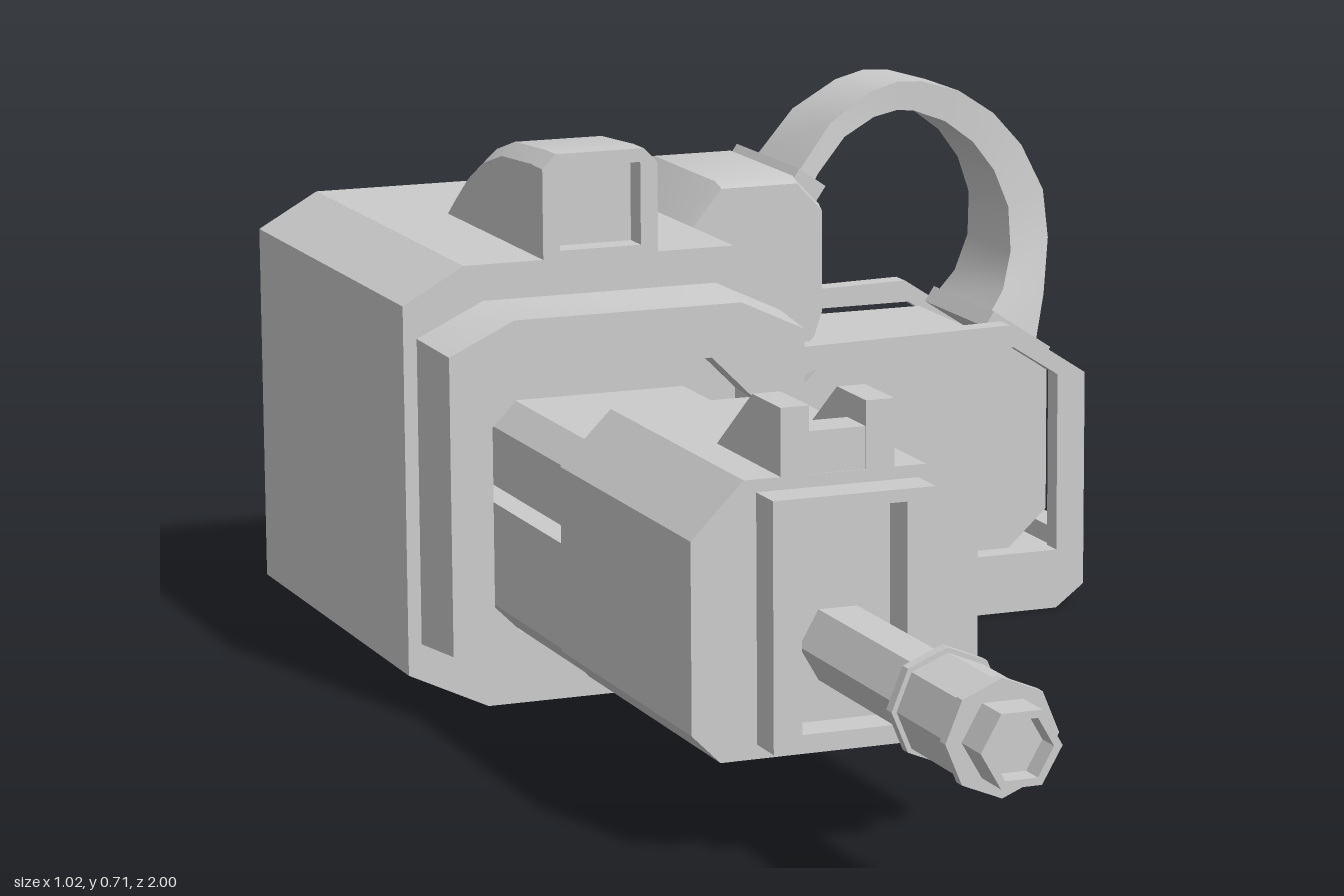
import * as THREE from 'three';
import { toCreasedNormals } from 'three/addons/utils/BufferGeometryUtils.js';

const material = new THREE.MeshStandardMaterial({ color: 0xcccccc });

// Octagon-like outline, counter-clockwise; cb and ct are the [x, y] cuts at the bottom and top corners
function octagon(x0, x1, y0, y1, cb, ct = cb) {
  return [
    [x0 + cb[0], y0], [x1 - cb[0], y0], [x1, y0 + cb[1]], [x1, y1 - ct[1]],
    [x1 - ct[0], y1], [x0 + ct[0], y1], [x0, y1 - ct[1]], [x0, y0 + cb[1]],
  ];
}

const rect = (x0, x1, y0, y1) => [[x0, y0], [x1, y0], [x1, y1], [x0, y1]];
const toVectors = (points) => points.map(([x, y]) => new THREE.Vector2(x, y));

function extrude(points, depth, hole) {
  const shape = new THREE.Shape(toVectors(points));
  if (hole) shape.holes.push(new THREE.Path(toVectors(hole)));
  return new THREE.ExtrudeGeometry(shape, { depth, bevelEnabled: false });
}

// Outline in x, y drawn out from z0 to z1
const prism = (points, z0, z1, hole) => extrude(points, z1 - z0, hole).translate(0, 0, z0);

// Outline in z, y drawn out from x0 to x1
const sidePrism = (points, x0, x1) => extrude(points, x1 - x0).rotateY(-Math.PI / 2).translate(x1, 0, 0);

// Skin over matching loops of [x, y, z], with both ends closed
function loft(loops) {
  const n = loops[0].length;
  const index = [];
  for (let s = 0; s < loops.length - 1; s++) {
    for (let i = 0; i < n; i++) {
      const a = s * n + i, b = s * n + (i + 1) % n;
      index.push(a, b, b + n, a, b + n, a + n);
    }
  }
  const last = (loops.length - 1) * n;
  for (let i = 1; i < n - 1; i++) {
    index.push(0, i + 1, i, last, last + i, last + i + 1);
  }
  const geometry = new THREE.BufferGeometry();
  geometry.setAttribute('position', new THREE.Float32BufferAttribute(loops.flat(2), 3));
  geometry.setIndex(index);
  return geometry;
}

const atZ = (points, z) => points.map(([x, y]) => [x, y, z]);

// Outline scaled about a centre
const shrink = (points, cx, cy, s) => points.map(([x, y]) => [cx + (x - cx) * s, cy + (y - cy) * s]);

export function createModel() {
  const group = new THREE.Group();
  const add = (name, geometry, parent = group) => {
    const mesh = new THREE.Mesh(toCreasedNormals(geometry, 0.5), material);
    mesh.name = name;
    parent.add(mesh);
  };
  const box = (name, x0, x1, y0, y1, z0, z1, parent) => add(name,
    new THREE.BoxGeometry(x1 - x0, y1 - y0, z1 - z0).translate((x0 + x1) / 2, (y0 + y1) / 2, (z0 + z1) / 2), parent);

  // Main housing with stepped taper at the rear
  const housing = octagon(-0.51, 0.01, 0, 0.565, [0.105, 0.05], [0.08, 0.045]);
  add('housing', loft([
    atZ(octagon(-0.46, -0.05, 0.085, 0.48, [0.07, 0.035]), -1),
    atZ(octagon(-0.49, -0.02, 0.07, 0.5, [0.08, 0.04]), -0.9),
    atZ(housing, -0.86),
    atZ(housing, -0.27),
  ]));

  // Collar around the barrel block, slightly wider at the back
  const blockOutline = octagon(-0.43, -0.075, 0.118, 0.445, [0.035, 0.035], [0.065, 0.065]);
  const collar = prism(octagon(-0.485, -0.015, 0.055, 0.512, [0.085, 0.04]), -0.28, -0.17, blockOutline);
  const corners = collar.attributes.position;
  for (let i = 0; i < corners.count; i++) {
    if (corners.getZ(i) < -0.2) {
      corners.setX(i, -0.25 + (corners.getX(i) + 0.25) * 1.035);
      corners.setY(i, 0.284 + (corners.getY(i) - 0.284) * 1.035);
    }
  }
  add('collar', collar);

  // Barrel block, with a stepped waist behind it
  add('barrelBlock', prism(blockOutline, 0.07, 0.495));
  add('lowerWaist', prism([[-0.395, 0.12], [-0.11, 0.12], [-0.077, 0.155], [-0.077, 0.285],
    [-0.428, 0.285], [-0.428, 0.155]], -0.28, 0.08));
  add('upperWaist', prism([[-0.395, 0.28], [-0.11, 0.28], [-0.11, 0.36], [-0.14, 0.39],
    [-0.365, 0.39], [-0.395, 0.36]], -0.28, 0.08));

  // Muzzle frame, barrel, flanged sleeve and hollow tip
  add('muzzleFrame', prism(rect(-0.35, -0.15, 0.135, 0.43), 0.49, 0.545, rect(-0.315, -0.185, 0.155, 0.415)));
  const rod = (name, radius, sides, turn, z0, z1) => add(name,
    new THREE.CylinderGeometry(radius, radius, z1 - z0, sides, 1)
      .rotateX(Math.PI / 2).rotateZ(turn).translate(-0.25, 0.245, (z0 + z1) / 2));
  rod('barrel', 0.048, 6, Math.PI / 6, 0.48, 0.97);
  rod('muzzleSleeve', 0.061, 8, 0, 0.8, 0.94);
  for (const z of [0.79, 0.935]) rod('sleeveFlange', 0.067, 8, 0, z, z + 0.015);
  const hexagon = (r) => Array.from({ length: 6 }, (_, i) =>
    [-0.25 + r * Math.cos(i * Math.PI / 3), 0.245 + r * Math.sin(i * Math.PI / 3)]);
  add('muzzleTip', prism(hexagon(0.048), 0.96, 1, hexagon(0.038)));

  // Front sight: two sloped fins and a cross bar
  const fin = [[0.29, 0.43], [0.495, 0.43], [0.495, 0.525], [0.41, 0.525], [0.3, 0.445]];
  add('frontSightFin', sidePrism(fin, -0.32, -0.285));
  add('frontSightFin', sidePrism(fin, -0.215, -0.18));
  box('frontSightBar', -0.29, -0.21, 0.43, 0.495, 0.44, 0.494);

  // Rear sight with a recessed front face
  const sightOutline = [[-0.325, 0.55], [-0.172, 0.55], [-0.172, 0.679], [-0.19, 0.697], [-0.307, 0.697], [-0.325, 0.679]];
  add('rearSightFrame', prism(sightOutline, -0.31, -0.27, rect(-0.303, -0.195, 0.575, 0.68)));
  const sightSteps = [[-0.65, 0.568], [-0.6, 0.605], [-0.55, 0.64], [-0.49, 0.67], [-0.42, 0.69], [-0.305, 0.697]];
  add('rearSightBody', loft(sightSteps.map(([z, top]) => atZ([[-0.325, 0.55], [-0.172, 0.55],
    [-0.172, top - 0.017], [-0.19, top], [-0.307, top], [-0.325, top - 0.017]], z))));

  // Magazine cage: floor, end plates with windows and a low outer sill
  const cage = new THREE.Group();
  cage.name = 'magazineCage';
  group.add(cage);
  add('cageFloor', prism([[-0.1, 0], [0.47, 0], [0.51, 0.03], [0.51, 0.08], [0.05, 0.08], [0.05, 0.05], [-0.1, 0.05]],
    -0.835, -0.465), cage);
  const plate = [[0.05, 0], [0.47, 0], [0.51, 0.03], [0.51, 0.32], [0.4, 0.392], [0.05, 0.385]];
  const plateWindow = [[0.095, 0.08], [0.47, 0.08], [0.47, 0.32], [0.405, 0.362], [0.14, 0.362], [0.095, 0.345]];
  for (const z of [-0.84, -0.49]) add('cagePlate', prism(plate, z, z + 0.03, plateWindow), cage);
  box('cageSill', 0.475, 0.51, 0.07, 0.105, -0.83, -0.47, cage);
  add('cageGusset', extrude([[-0.05, 0.42], [0.01, 0.43], [0.06, 0.46], [0.06, 0.84], [0.01, 0.87], [-0.05, 0.87]], 0.05)
    .rotateX(-Math.PI / 2), cage);

  // Magazine held in the cage
  const magazine = [[0.145, 0.075], [0.41, 0.075], [0.47, 0.13], [0.47, 0.32],
    [0.41, 0.36], [0.15, 0.36], [0.11, 0.32], [0.11, 0.12]];
  add('magazine', prism(magazine, -0.785, -0.495));

  // Feed inlet on the side of the housing
  const inlet = [[-0.04, 0.31], [0.06, 0.31], [0.145, 0.385], [0.157, 0.42],
    [0.157, 0.56], [0.12, 0.6], [0.01, 0.6], [-0.04, 0.54]];
  const inletEnd = shrink(inlet, 0, 0.45, 0.96);
  add('feedInlet', loft([atZ(inletEnd, -0.78), atZ(inlet, -0.755), atZ(inlet, -0.535), atZ(inletEnd, -0.51)]));

  // Feed band: [outer x, outer y, inner x, inner y, half width]
  const band = [
    [0.125, 0.58, 0.15, 0.565, 0.075], [0.15, 0.61, 0.17, 0.595, 0.072], [0.19, 0.66, 0.21, 0.64, 0.066],
    [0.25, 0.697, 0.255, 0.663, 0.06], [0.29, 0.708, 0.29, 0.67, 0.058], [0.325, 0.706, 0.315, 0.667, 0.056],
    [0.38, 0.69, 0.36, 0.65, 0.056], [0.43, 0.657, 0.4, 0.62, 0.057], [0.47, 0.612, 0.43, 0.58, 0.06],
    [0.5, 0.55, 0.449, 0.53, 0.065], [0.505, 0.485, 0.45, 0.47, 0.071], [0.495, 0.41, 0.435, 0.42, 0.08],
    [0.478, 0.34, 0.405, 0.38, 0.09],
  ];
  add('feedBand', loft(band.map(([ox, oy, ix, iy, w]) => [
    [ox, oy, -0.64 + w], [ix, iy, -0.64 + w], [ix, iy, -0.64 - w], [ox, oy, -0.64 - w],
  ])));

  // Clips at both ends of the band
  const clip = (name, x, y, angle, length, width) => add(name,
    new THREE.BoxGeometry(length, 0.024, width).rotateZ(angle).translate(x, y, -0.64));
  clip('inletClip', 0.139, 0.587, -0.6, 0.045, 0.22);
  clip('magazineClip', 0.448, 0.358, -0.58, 0.1, 0.2);

  return group;
}
